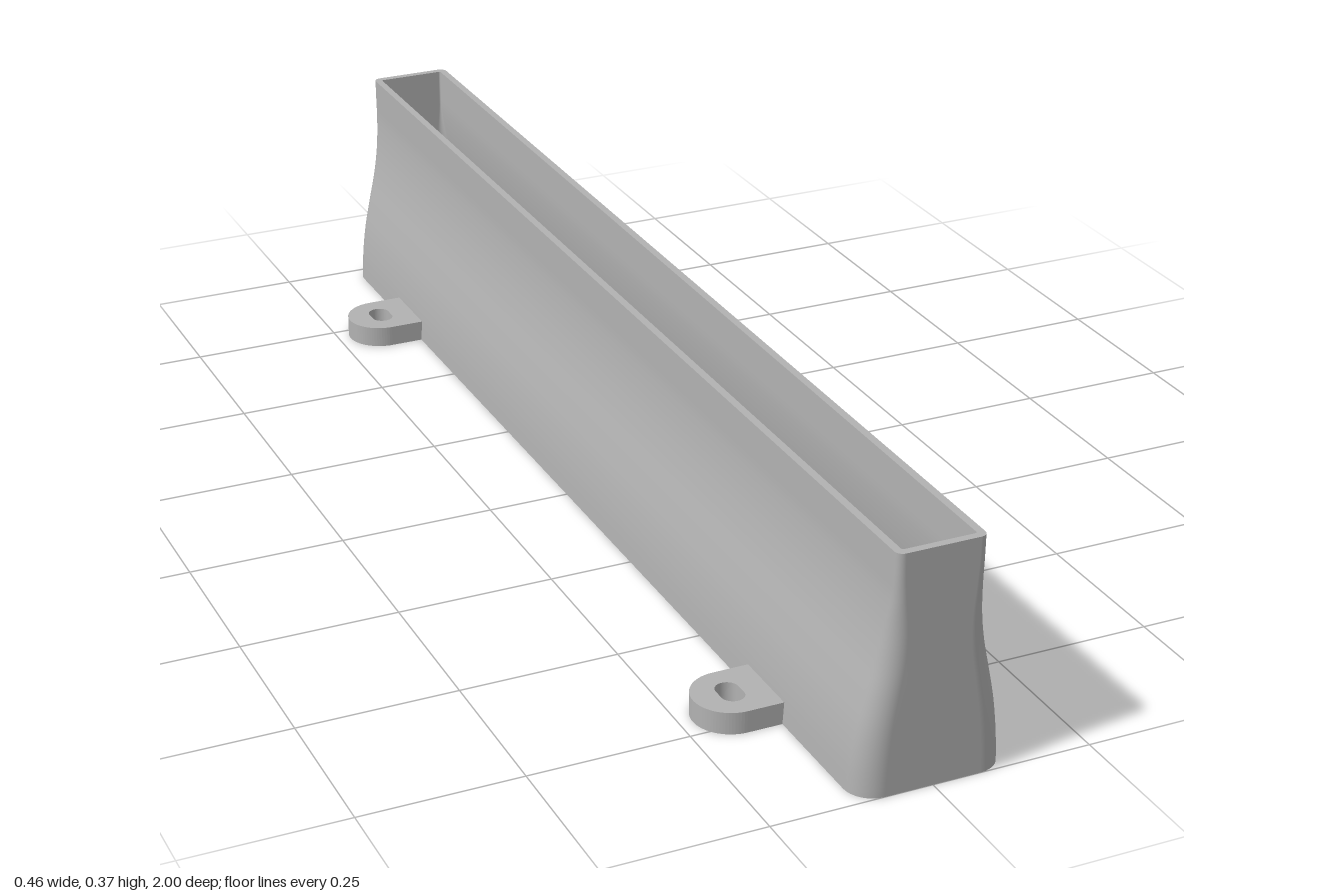
import * as THREE from 'three';

const HEIGHT = 0.373, WALL = 0.012, HALF_LENGTH = 1;

// Half-width and corner radius of the duct at each height
const SECTIONS = [
  [0, 0.117, 0.042], [0.05, 0.1135, 0.041], [0.1, 0.1065, 0.039], [0.15, 0.0955, 0.036],
  [0.2, 0.0835, 0.032], [0.25, 0.0745, 0.025], [0.3, 0.0695, 0.016], [0.335, 0.069, 0.013], [HEIGHT, 0.069, 0.012],
];

// Rounded rectangle in the horizontal plane
function ring(y, w, d, r) {
  const points = [], n = 8;
  const signs = [[1, 1], [-1, 1], [-1, -1], [1, -1]];
  signs.forEach(([sx, sz], q) => {
    for (let i = 0; i <= n; i++) {
      const a = (q + i / n) * Math.PI / 2;
      points.push(new THREE.Vector3(sx * (w - r) + r * Math.cos(a), y, sz * (d - r) + r * Math.sin(a)));
    }
  });
  return points;
}

// Skin a stack of closed rings
function loft(rings) {
  const n = rings[0].length, index = [];
  for (let k = 0; k < rings.length - 1; k++) {
    for (let i = 0; i < n; i++) {
      const a = k * n + i, b = k * n + (i + 1) % n;
      index.push(a, a + n, b, b, a + n, b + n);
    }
  }
  const geometry = new THREE.BufferGeometry().setFromPoints(rings.flat());
  geometry.setIndex(index);
  geometry.computeVertexNormals();
  return geometry;
}

// Mounting tab with a rounded end and a slotted hole, pointing to +x
function tabGeometry() {
  const x0 = 0.107, cx = 0.172, r = 0.058;
  const shape = new THREE.Shape();
  shape.moveTo(x0, -r);
  shape.lineTo(cx, -r);
  shape.absarc(cx, 0, r, -Math.PI / 2, Math.PI / 2, false);
  shape.lineTo(x0, r);
  shape.closePath();
  const hr = 0.018, hs = 0.009;
  const slot = new THREE.Path();
  slot.absarc(cx, hs, hr, 0, Math.PI, false);
  slot.absarc(cx, -hs, hr, Math.PI, Math.PI * 2, false);
  slot.closePath();
  shape.holes.push(slot);
  const geometry = new THREE.ExtrudeGeometry(shape, { depth: 0.035, bevelEnabled: false, curveSegments: 20 });
  return geometry.rotateX(-Math.PI / 2);
}

export function createModel() {
  const model = new THREE.Group();
  model.name = 'slotDuct';
  const grey = new THREE.MeshStandardMaterial({ color: 0xb2b2b2 });
  grey.name = 'plainGrey';
  const add = (name, geometry, parent) => {
    const mesh = new THREE.Mesh(geometry, grey);
    mesh.name = name;
    parent.add(mesh);
    return mesh;
  };

  // Smooth wall profile sampled from the key sections
  const curve = new THREE.CatmullRomCurve3(SECTIONS.map(([y, w, r]) => new THREE.Vector3(w, y, r)));
  const outer = [], inner = [];
  for (let i = 0; i <= 32; i++) {
    const p = curve.getPoint(i / 32);
    outer.push(ring(p.y, p.x, HALF_LENGTH, p.z));
    inner.push(ring(p.y, p.x - WALL, HALF_LENGTH - WALL, Math.max(p.z - WALL, 0.003)));
  }

  // Hollow duct, open at both the top and the bottom
  const duct = new THREE.Group();
  duct.name = 'duct';
  model.add(duct);
  add('outerWall', loft(outer), duct);
  add('innerWall', loft([...inner].reverse()), duct);
  add('topRim', loft([outer[32], inner[32]]), duct);
  add('bottomRim', loft([inner[0], outer[0]]), duct);

  // Four mounting tabs
  const tab = tabGeometry();
  for (const z of [-0.716, 0.716]) {
    for (const side of [1, -1]) {
      const mesh = add((side > 0 ? 'left' : 'right') + (z > 0 ? 'Front' : 'Back') + 'Tab', tab, model);
      mesh.position.z = z;
      if (side < 0) mesh.rotation.y = Math.PI;
    }
  }
  return model;
}
